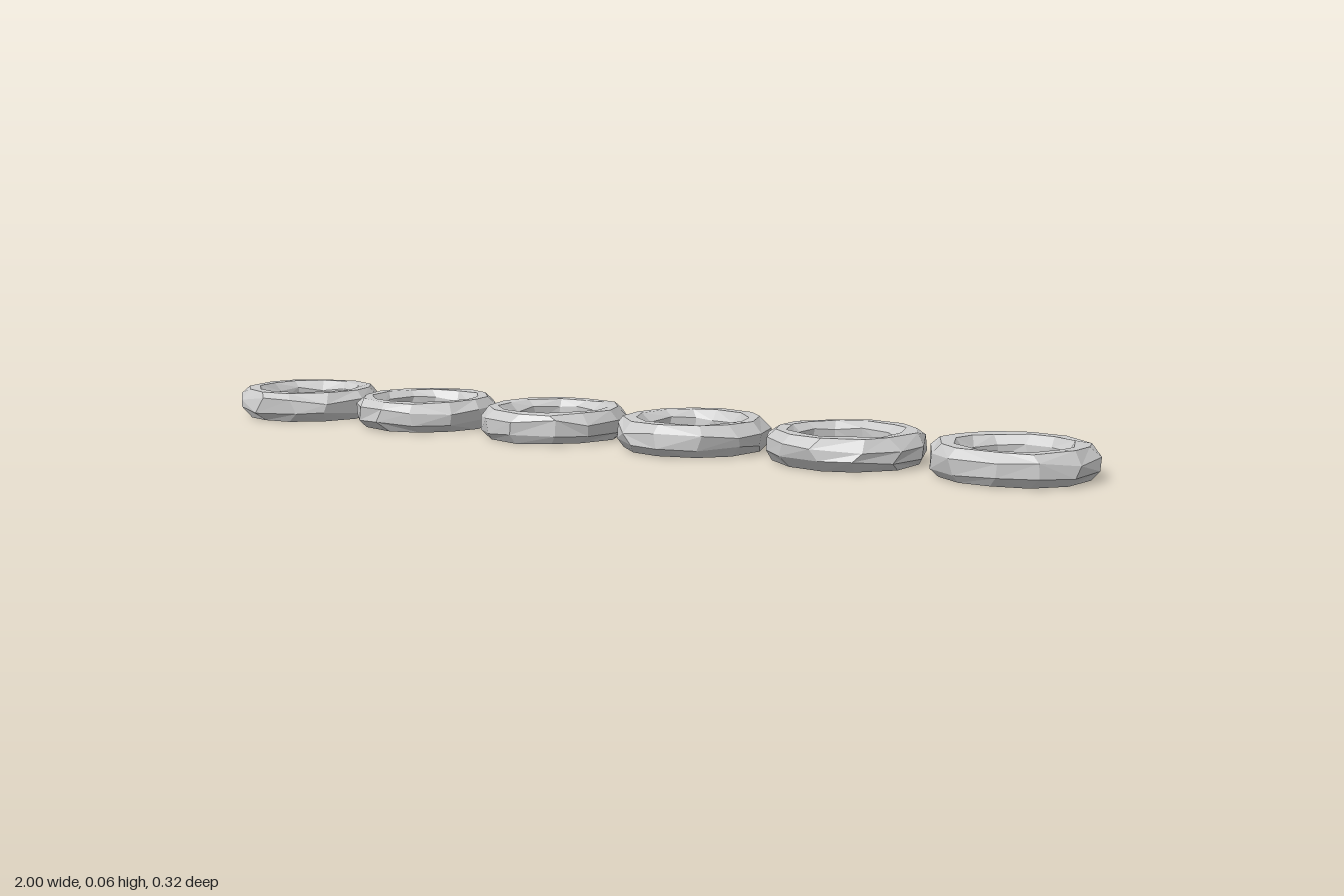
import * as THREE from 'three';

const SIDES = 12;      // segments around each ring
const SECTION = 8;     // sides of the tube section
const HEIGHT = 0.064;

// Small repeatable noise in -1..1
function seeded(seed) {
  let s = seed * 7919 + 17;
  return () => {
    s = (s * 16807) % 2147483647;
    return (s / 2147483647) * 2 - 1;
  };
}

// Chiselled ring: a squashed torus, nudged irregularly and cut flat above and below
function ringGeometry(seed) {
  const noise = seeded(seed);
  for (let i = 0; i < 5; i++) noise();
  const phase = noise() * 0.3;
  const positions = [];
  const index = [];
  for (let i = 0; i < SIDES; i++) {
    for (let j = 0; j < SECTION; j++) {
      const a = (i / SIDES) * Math.PI * 2 + phase + noise() * 0.09;
      const b = ((j + 0.5) / SECTION) * Math.PI * 2 + noise() * 0.15;
      const r = 0.128 + Math.cos(b) * 0.0325 + noise() * 0.002;
      const y = HEIGHT / 2 + Math.sin(b) * 0.036 + noise() * 0.003;
      positions.push(Math.cos(a) * r, THREE.MathUtils.clamp(y, 0, HEIGHT), Math.sin(a) * r);

      // Two triangles per cell, with the diagonal varied
      const i2 = (i + 1) % SIDES, j2 = (j + 1) % SECTION;
      const p = i * SECTION + j, q = i * SECTION + j2;
      const s = i2 * SECTION + j2, t = i2 * SECTION + j;
      if (noise() > 0) index.push(p, q, s, p, s, t);
      else index.push(p, q, t, q, s, t);
    }
  }
  const g = new THREE.BufferGeometry();
  g.setAttribute('position', new THREE.Float32BufferAttribute(positions, 3));
  g.setIndex(index);
  g.computeVertexNormals();
  return g;
}

export function createModel() {
  const group = new THREE.Group();
  group.name = 'ringRow';
  const material = new THREE.MeshStandardMaterial({ color: 0xcccccc, flatShading: true });

  // Six separate rings lying flat in a row
  [-0.845, -0.513, -0.176, 0.163, 0.502, 0.842].forEach((x, i) => {
    const ring = new THREE.Mesh(ringGeometry(i + 1), material);
    ring.name = `ring${i + 1}`;
    ring.position.x = x;
    group.add(ring);
  });
  return group;
}
